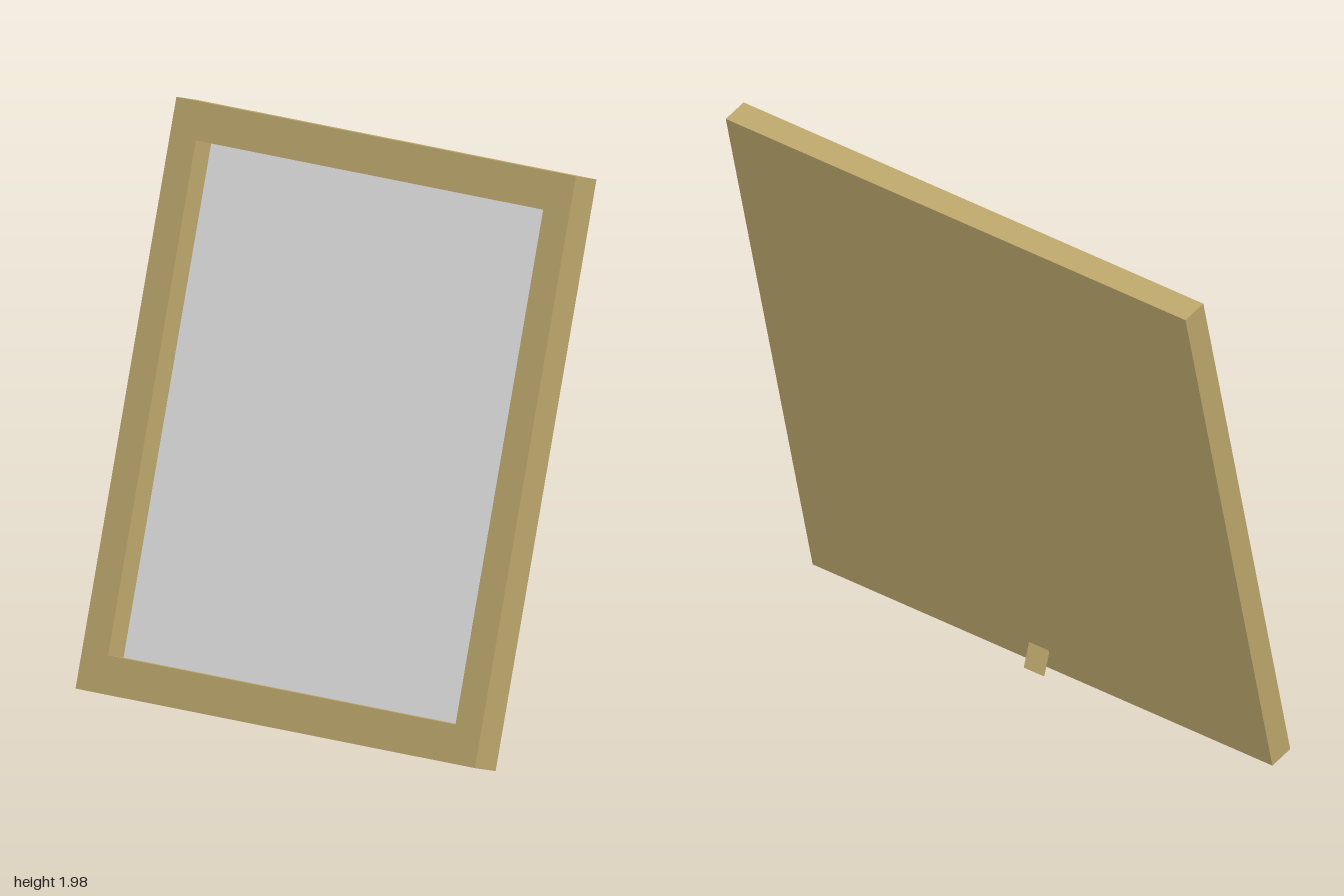
import * as THREE from 'three';

const wood = new THREE.MeshStandardMaterial({ color: 0xbca66c });
wood.name = 'wood';
const picture = new THREE.MeshStandardMaterial({ color: 0xe6e6e6 });
picture.name = 'pale panel';

const SIZE = 2, BORDER = 0.13, DEPTH = 0.095, RECESS = 0.075;
const OPENING = SIZE - 2 * BORDER;
const TILT = THREE.MathUtils.degToRad(13);

function addMesh(parent, name, geometry, material) {
  const mesh = new THREE.Mesh(geometry, material);
  mesh.name = name;
  parent.add(mesh);
  return mesh;
}

function square(Type, size) {
  const h = size / 2;
  return new Type([[-h, -h], [h, -h], [h, h], [-h, h]].map(([x, y]) => new THREE.Vector2(x, y)));
}

export function createModel() {
  const model = new THREE.Group();
  model.name = 'pictureFrame';

  // Everything on the frame leans back together
  const leaning = new THREE.Group();
  leaning.name = 'leaningFrame';
  leaning.position.y = 0.992;
  leaning.rotation.x = -TILT;
  model.add(leaning);

  // Square moulding around the opening
  const outline = square(THREE.Shape, SIZE);
  outline.holes.push(square(THREE.Path, OPENING));
  const moulding = new THREE.ExtrudeGeometry(outline, { depth: RECESS, bevelEnabled: false });
  addMesh(leaning, 'moulding', moulding, wood).position.z = DEPTH / 2 - RECESS;

  // Solid back, flush with the moulding
  const backDepth = DEPTH - RECESS;
  const back = new THREE.BoxGeometry(SIZE, SIZE, backDepth);
  addMesh(leaning, 'backBoard', back, wood).position.z = (backDepth - DEPTH) / 2;

  // Recessed picture panel
  const panel = new THREE.BoxGeometry(OPENING, OPENING, 0.004);
  addMesh(leaning, 'picturePanel', panel, picture).position.z = DEPTH / 2 - RECESS + 0.002;

  // Small foot hinged on the back, reaching down to the ground
  const top = new THREE.Vector2(0.163, 0.09), bottom = new THREE.Vector2(0.135, 0.001);
  const foot = addMesh(model, 'foot',
    new THREE.BoxGeometry(0.085, top.distanceTo(bottom), 0.006), wood);
  foot.position.set(0, (top.y + bottom.y) / 2, (top.x + bottom.x) / 2);
  foot.rotation.x = Math.atan2(top.x - bottom.x, top.y - bottom.y);

  return model;
}
